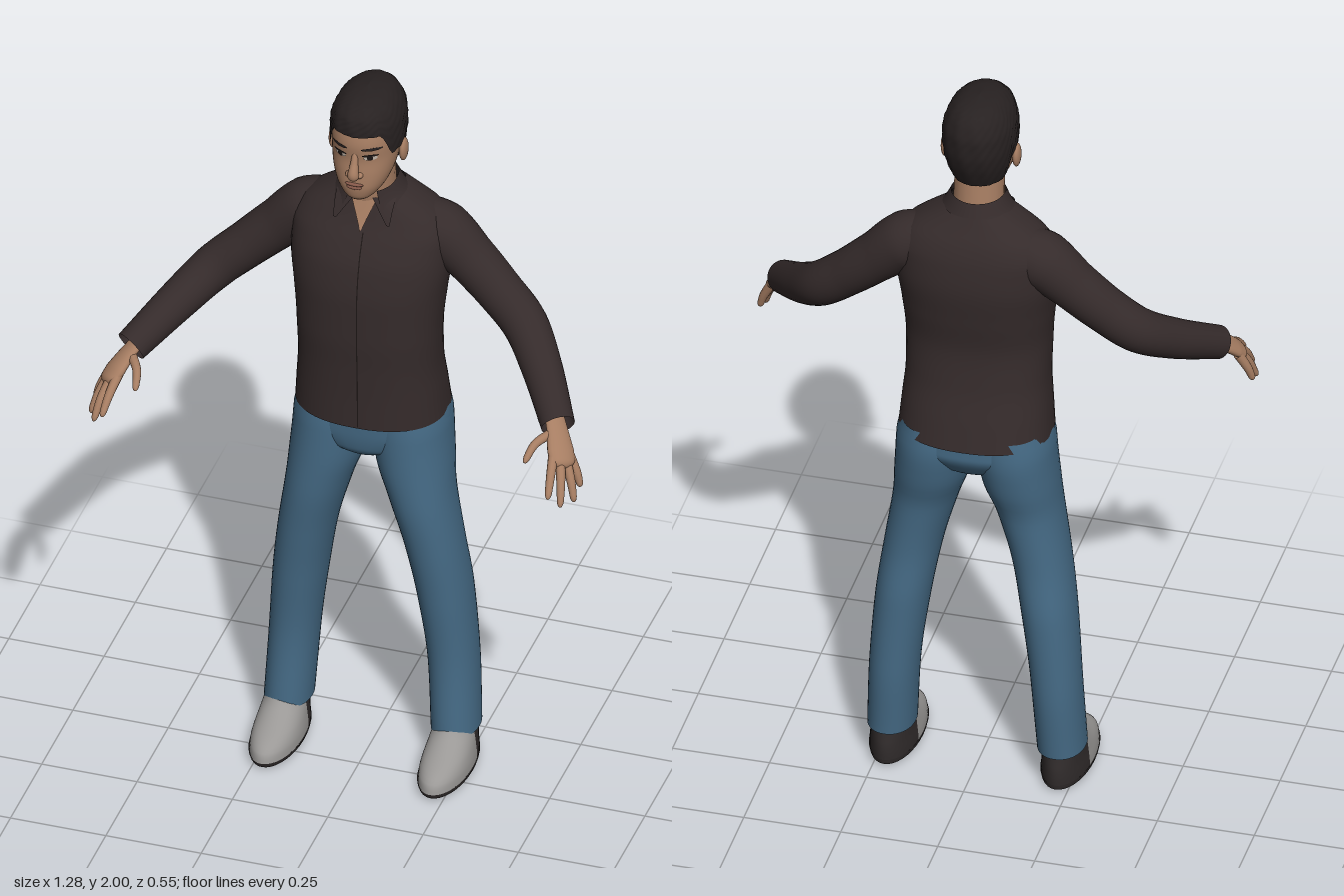
import * as THREE from 'three';

const mat = (name, color, side = THREE.DoubleSide) => {
  const m = new THREE.MeshStandardMaterial({ color, side });
  m.name = name;
  return m;
};
const lerp = THREE.MathUtils.lerp, smooth = THREE.MathUtils.smoothstep;
const spow = (v, e) => Math.sign(v) * Math.pow(Math.abs(v), e);

// Surface from a rule fn(u, v) -> [x, y, z]; "closed" welds the seam in u
function grid(nu, nv, fn, closed = false) {
  const cols = closed ? nu : nu + 1, pos = [], idx = [];
  for (let j = 0; j <= nv; j++)
    for (let i = 0; i < cols; i++) pos.push(...fn(i / nu, j / nv));
  for (let j = 0; j < nv; j++)
    for (let i = 0; i < nu; i++) {
      const k = (i + 1) % (closed ? nu : nu + 1);
      const a = j * cols + i, b = j * cols + k, c = a + cols, d = b + cols;
      idx.push(a, c, b, b, c, d);
    }
  const g = new THREE.BufferGeometry();
  g.setAttribute('position', new THREE.Float32BufferAttribute(pos, 3));
  g.setIndex(idx);
  g.computeVertexNormals();
  return g;
}

// Smooth monotone interpolation of rows keyed on their first value
function sample(rows, y) {
  const n = rows.length;
  let i = 0;
  while (i < n - 2 && y > rows[i + 1][0]) i++;
  const h = rows[i + 1][0] - rows[i][0], t = THREE.MathUtils.clamp((y - rows[i][0]) / h, 0, 1);
  const sec = (k, c) => (rows[k + 1][c] - rows[k][c]) / (rows[k + 1][0] - rows[k][0]);
  const slope = (k, c) => {
    if (k === 0) return sec(0, c);
    if (k === n - 1) return sec(n - 2, c);
    const a = sec(k - 1, c), b = sec(k, c);
    return a * b > 0 ? 2 * a * b / (a + b) : 0;
  };
  return rows[i].map((p, c) => {
    if (c === 0) return y;
    const q = rows[i + 1][c], t2 = t * t, t3 = t2 * t;
    return (2 * t3 - 3 * t2 + 1) * p + (t3 - 2 * t2 + t) * h * slope(i, c)
      + (3 * t2 - 2 * t3) * q + (t3 - t2) * h * slope(i + 1, c);
  });
}

// Rows are [y, centre x, back z, front z, half width]
function onRing(rows, y, a, e = 1) {
  const [, cx, zb, zf, hw] = sample(rows, y);
  return [cx + hw * spow(Math.cos(a), e), y, (zb + zf) / 2 + (zf - zb) / 2 * spow(Math.sin(a), e)];
}
function loft(rows, e = 1, nu = 40, nv = 40, ease = false) {
  const y0 = rows[0][0], y1 = rows[rows.length - 1][0];
  return grid(nu, nv, (u, v) =>
    onRing(rows, lerp(y0, y1, ease ? 1 - (1 - v) ** 2 : v), u * Math.PI * 2, e), true);
}

// Thin patch lying on the front of a loft, from yTop down to yBottom
function decal(rows, e, yTop, yBottom, centre, half, off = 0.003) {
  return grid(12, 10, (u, v) => {
    const y = lerp(yTop, yBottom, v), [, , zb, zf, hw] = sample(rows, y);
    const x = centre(v) + (2 * u - 1) * half(v);
    const c = Math.pow(Math.min(Math.abs(x) / hw, 0.99), 1 / e);
    return [x, y, (zb + zf) / 2 + (zf - zb) / 2 * Math.pow(1 - c * c, e / 2) + off];
  });
}
const oval = r => v => r * Math.sqrt(Math.max(0, 1 - (2 * v - 1) ** 2));

// Limb along points [x, y, z, radius]; "wide" sets the broad direction, "flat" the other
function limb(pts, round, wide = [0, 1, 0], flat = 1, nu = 20, nv = 28) {
  const curve = new THREE.CatmullRomCurve3(pts.map(p => new THREE.Vector3(p[0], p[1], p[2])));
  const ref = new THREE.Vector3(...wide), last = pts.length - 1;
  return grid(nu, nv, (u, v) => {
    const t = round ? 1 - (1 - v) ** 1.6 : v, f = t * last, i = Math.min(Math.floor(f), last - 1);
    let r = lerp(pts[i][3], pts[i + 1][3], f - i);
    if (round && t > 0.85) r *= Math.sqrt(Math.max(0, 1 - ((t - 0.85) / 0.15) ** 2));
    const T = curve.getTangent(t), N = ref.clone().addScaledVector(T, -ref.dot(T)).normalize();
    const B = N.clone().cross(T), a = u * Math.PI * 2;
    return curve.getPoint(t).addScaledVector(N, r * Math.cos(a))
      .addScaledVector(B, r * flat * Math.sin(a)).toArray();
  }, true);
}
const ball = (x, y, z, sx, sy, sz) => new THREE.SphereGeometry(1, 20, 14).scale(sx, sy, sz).translate(x, y, z);

function mirrored(geo) {
  const g = geo.clone().scale(-1, 1, 1), ix = g.index;
  for (let i = 0; i < ix.count; i += 3) {
    const b = ix.getX(i + 1);
    ix.setX(i + 1, ix.getX(i + 2));
    ix.setX(i + 2, b);
  }
  g.computeVertexNormals();
  return g;
}

export function createModel() {
  const model = new THREE.Group();
  model.name = 'standingMan';
  const skin = mat('skin', 0xa67d62), shirt = mat('shirtCloth', 0x352b2b), denim = mat('denim', 0x456a85);
  const hair = mat('hairDark', 0x272121), grey = mat('shoeGrey', 0x9a9896), dark = mat('shoeDark', 0x302b2b);
  const lip = mat('lipBrown', 0x86594a), white = mat('eyeWhite', 0xc4b8ac), black = mat('eyeDark', 0x1c1615);
  const add = (name, geo, m) => {
    const mesh = new THREE.Mesh(geo, m);
    mesh.name = name;
    model.add(mesh);
  };
  const pair = (name, geo, m) => {
    add(name + 'Left', geo, m);
    add(name + 'Right', mirrored(geo), m);
  };

  // Shirt body, neck opening, collar and front seam
  const torso = [[1.035, 0, -0.27, 0.035, 0.195], [1.1, 0, -0.255, 0.035, 0.19], [1.2, 0, -0.232, 0.037, 0.183],
    [1.3, 0, -0.222, 0.042, 0.185], [1.4, 0, -0.235, 0.042, 0.194], [1.5, 0, -0.246, 0.03, 0.205],
    [1.57, 0, -0.24, 0.005, 0.205], [1.62, 0, -0.226, -0.02, 0.182], [1.66, 0, -0.205, -0.035, 0.13],
    [1.69, 0, -0.19, -0.045, 0.08]];
  add('shirtBody', loft(torso, 0.85, 48, 44), shirt);
  add('neckOpening', decal(torso, 0.85, 1.69, 1.6, () => 0, v => 0.036 * (1 - v), 0.004), skin);
  add('frontSeam', decal(torso, 0.85, 1.6, 1.04, () => 0.008, () => 0.0015, 0.002), black);
  const collar = [[1.655, 0, -0.205, -0.018, 0.115], [1.69, 0, -0.19, -0.025, 0.086], [1.725, 0, -0.175, -0.03, 0.068]];
  add('collarBand', grid(40, 8, (u, v) => {
    const a = lerp(2.05, Math.PI * 2 + 1.09, u);
    return onRing(collar, 1.655 + v * (0.07 - 0.015 * Math.max(0, Math.sin(a))), a);
  }), shirt);
  pair('collarWing', decal(torso, 0.85, 1.69, 1.625, v => lerp(0.05, 0.07, v), v => lerp(0.028, 0.004, v), 0.009), shirt);

  // Sleeves
  pair('sleeve', limb([[0.1, 1.585, -0.135, 0.066], [0.175, 1.56, -0.135, 0.076], [0.25, 1.497, -0.13, 0.065],
    [0.33, 1.425, -0.115, 0.06], [0.405, 1.36, -0.088, 0.058], [0.475, 1.295, -0.01, 0.052],
    [0.56, 1.215, 0.115, 0.043]], false, [0, 1, 0], 1, 28, 40), shirt);

  // Hands
  const across = [-0.041, 0.015, 0.04];
  pair('palm', limb([[0.54, 1.232, 0.09, 0.026], [0.563, 1.205, 0.128, 0.03], [0.583, 1.175, 0.165, 0.037],
    [0.6, 1.145, 0.195, 0.034]], true, across, 0.48), skin);
  const fingers = {
    indexFinger: [[0.57, 1.175, 0.182], [0.579, 1.14, 0.235], [0.585, 1.1, 0.276]],
    middleFinger: [[0.586, 1.165, 0.18], [0.603, 1.12, 0.225], [0.612, 1.07, 0.258]],
    ringFinger: [[0.598, 1.158, 0.17], [0.62, 1.11, 0.195], [0.634, 1.062, 0.213]],
    littleFinger: [[0.602, 1.16, 0.153], [0.625, 1.115, 0.162], [0.636, 1.08, 0.168]],
    thumb: [[0.552, 1.205, 0.135], [0.522, 1.195, 0.185], [0.51, 1.168, 0.235]],
  };
  for (const [name, pts] of Object.entries(fingers))
    pair(name, limb(pts.map((p, i) => [...p, [0.013, 0.011, 0.008][i]]), true, across, 1, 12, 14), skin);

  // Trousers
  add('trouserSeat', loft([[0.905, 0, -0.13, -0.11, 0], [0.92, 0, -0.19, -0.02, 0.07], [0.95, 0, -0.225, 0.004, 0.15],
    [1.0, 0, -0.25, 0.012, 0.2], [1.05, 0, -0.25, 0.014, 0.193], [1.1, 0, -0.235, 0.012, 0.175]], 0.9), denim);
  pair('trouserLeg', loft([[0.1, 0.219, -0.196, -0.03, 0.061], [0.3, 0.208, -0.21, -0.042, 0.063],
    [0.5, 0.188, -0.21, -0.026, 0.069], [0.65, 0.165, -0.2, -0.008, 0.073], [0.8, 0.133, -0.208, 0.008, 0.083],
    [0.9, 0.112, -0.235, 0.01, 0.096], [1.0, 0.102, -0.25, 0.01, 0.099], [1.06, 0.1, -0.245, 0.005, 0.088]], 0.95), denim);

  // Shoes: grey toe shell, dark heel shell and sole
  const shoe = [[0.02, 0.221, -0.195, 0.108, 0.064], [0.04, 0.221, -0.196, 0.104, 0.063], [0.06, 0.221, -0.195, 0.082, 0.06],
    [0.085, 0.221, -0.19, 0.025, 0.056], [0.11, 0.221, -0.185, -0.02, 0.052], [0.14, 0.221, -0.18, -0.045, 0.048]];
  const shell = (front) => grid(28, 14, (u, v) => {
    const y = lerp(0.02, 0.14, v), [, , zb, zf] = sample(shoe, y);
    const s = Math.asin((-0.085 - (zb + zf) / 2) / ((zf - zb) / 2));
    return onRing(shoe, y, front ? lerp(s, Math.PI - s, u) : lerp(Math.PI - s, Math.PI * 2 + s, u));
  });
  pair('shoeToe', shell(true), grey);
  pair('shoeHeel', shell(false), dark);
  pair('shoeSole', loft([[0, 0.221, -0.05, -0.04, 0], [0.0015, 0.221, -0.18, 0.085, 0.054],
    [0.01, 0.221, -0.194, 0.105, 0.063], [0.022, 0.221, -0.197, 0.11, 0.066]], 1, 36, 22), dark);

  // Neck and head
  add('neck', limb([[0, 1.6, -0.11, 0.068], [0, 1.7, -0.098, 0.064], [0, 1.82, -0.085, 0.062]], false, [1, 0, 0]), skin);
  const head = [[1.714, 0, -0.03, 0, 0], [1.718, 0, -0.055, 0.022, 0.026], [1.735, 0, -0.09, 0.035, 0.047],
    [1.765, 0, -0.12, 0.04, 0.066], [1.8, 0, -0.145, 0.038, 0.078], [1.84, 0, -0.165, 0.034, 0.084],
    [1.88, 0, -0.18, 0.037, 0.086], [1.92, 0, -0.185, 0.03, 0.083], [1.96, 0, -0.165, 0.005, 0.065],
    [1.985, 0, -0.09, -0.07, 0.005]];
  add('head', loft(head, 0.92, 44, 50), skin);
  pair('ear', ball(0.092, 1.826, -0.078, 0.011, 0.033, 0.021), skin);

  // Face
  add('nose', limb([[0, 1.865, 0.028, 0.007], [0, 1.835, 0.038, 0.01], [0, 1.806, 0.046, 0.015],
    [0, 1.797, 0.036, 0.013]], true, [1, 0, 0]), skin);
  pair('nostril', ball(0.014, 1.803, 0.037, 0.009, 0.008, 0.011), skin);
  pair('eyeball', decal(head, 0.92, 1.862, 1.847, () => 0.039, oval(0.016)), white);
  pair('iris', decal(head, 0.92, 1.862, 1.848, () => 0.039, oval(0.007), 0.005), black);
  pair('eyelid', decal(head, 0.92, 1.866, 1.859, () => 0.039, oval(0.019), 0.005), black);
  pair('eyebrow', decal(head, 0.92, 1.885, 1.876, () => 0.042, oval(0.024), 0.004), hair);
  add('upperLip', ball(0, 1.774, 0.038, 0.024, 0.005, 0.007), lip);
  add('lowerLip', ball(0, 1.765, 0.038, 0.02, 0.006, 0.007), lip);

  // Short hair with a shaped hairline and slight tufts
  const cap = [[1.76, 0, -0.158, 0.02, 0.068], [1.8, 0, -0.178, 0.035, 0.083], [1.84, 0, -0.195, 0.04, 0.09],
    [1.88, 0, -0.204, 0.042, 0.093], [1.92, 0, -0.205, 0.042, 0.091], [1.955, 0, -0.195, 0.035, 0.08],
    [1.98, 0, -0.175, 0.01, 0.06], [1.993, 0, -0.14, -0.025, 0.036], [2, 0, -0.09, -0.08, 0]];
  add('hair', grid(64, 36, (u, v) => {
    const a = u * Math.PI * 2, f = Math.sin(a);
    const line = 1.772 + 0.075 * smooth(f, -0.5, -0.15) + 0.07 * smooth(f, 0.45, 0.8);
    const [x, y, z] = onRing(cap, lerp(line, 2, 1 - (1 - v) ** 2), a, 0.95);
    const k = 1 + 0.018 * Math.sin(a * 17 + v * 23) * Math.sin(v * 31 + a * 5);
    return [x * k, y, (z + 0.08) * k - 0.08];
  }, true), hair);

  return model;
}
